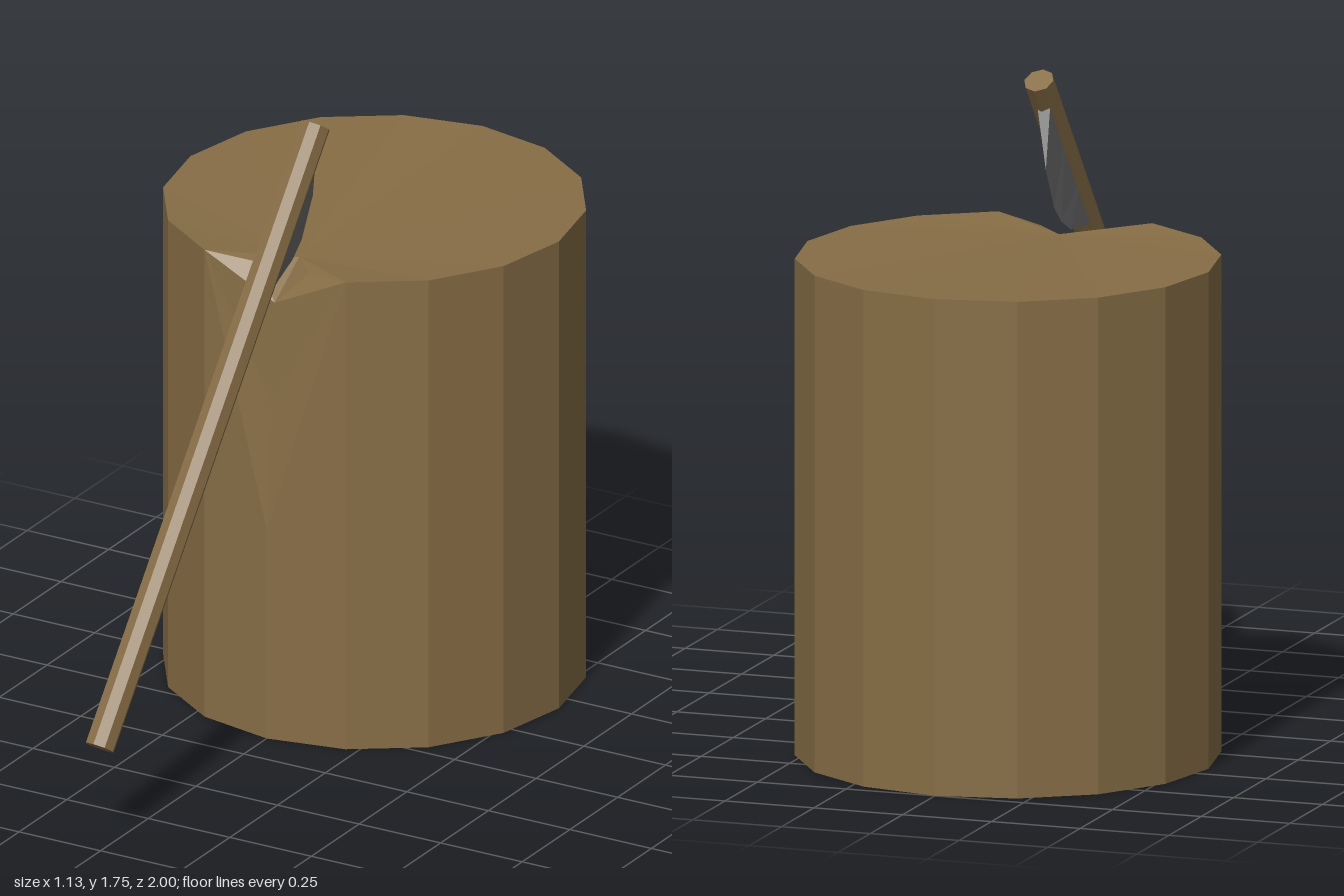
import * as THREE from 'three';

const wood = new THREE.MeshStandardMaterial({ color: 0x866d45 });
wood.name = 'wood';
const steel = new THREE.MeshStandardMaterial({ color: 0x6c6c6e });
steel.name = 'steel';

const V = (x, y, z) => new THREE.Vector3(x, y, z);

// Faceted mesh from a list of triangles, each three points
function facetMesh(name, tris, material) {
  const geo = new THREE.BufferGeometry().setFromPoints(tris.flat());
  geo.computeVertexNormals();
  const mesh = new THREE.Mesh(geo, material);
  mesh.name = name;
  return mesh;
}

// Sixteen-sided block with a split at the front rim, built as one half and mirrored
function makeBlock() {
  const r = 0.565, cz = -0.435, h = 1.345, n = 16;
  const ring = (i, y) => {
    const a = (i / n) * Math.PI * 2;
    return V(r * Math.sin(a), y, cz + r * Math.cos(a));
  };
  const notchBack = V(0, 1.325, -0.04), notchSide = V(0.08, 1.325, 0.045);
  // front edge, leaning inwards towards the split
  const front = [V(0, 0, 0.13), V(0, 0.6, 0.13), V(0, 0.95, 0.103), V(0, 1.24, 0.088)];
  const rim = ring(1, h);
  const half = [
    [front[0], ring(1, 0), rim],
    [front[3], rim, notchSide],
    [front[3], notchSide, notchBack],
    [notchBack, notchSide, rim],
  ];
  for (let i = 0; i < 3; i++) half.push([front[i], rim, front[i + 1]]);
  for (let i = 0; i < n / 2; i++) {
    half.push([V(0, 0, cz), ring(i + 1, 0), ring(i, 0)]);
    if (i === 0) continue;
    half.push([ring(i, 0), ring(i + 1, 0), ring(i + 1, h)]);
    half.push([ring(i, 0), ring(i + 1, h), ring(i, h)]);
    half.push([notchBack, ring(i, h), ring(i + 1, h)]);
  }
  const flip = (p) => V(-p.x, p.y, p.z);
  const mirrored = half.map(([a, b, c]) => [flip(a), flip(c), flip(b)]);
  return facetMesh('choppingBlock', [...half, ...mirrored], wood);
}

// Straight faceted handle leaning on the block
function makeHandle(bottom, top) {
  const axis = top.clone().sub(bottom);
  const geo = new THREE.CylinderGeometry(0.041, 0.041, axis.length(), 8).toNonIndexed();
  geo.computeVertexNormals();
  const mesh = new THREE.Mesh(geo, wood);
  mesh.name = 'axeHandle';
  mesh.position.copy(bottom).add(top).multiplyScalar(0.5);
  mesh.quaternion.setFromUnitVectors(V(0, 1, 0), axis.normalize());
  return mesh;
}

// Wedge blade: thick at the handle, sharp along the curved cutting edge
function makeBlade(bottom, top) {
  const edge = [
    V(0.03, 1.5, -0.06), V(0.023, 1.39, -0.015), V(0.018, 1.345, 0.025), V(0.014, 1.31, 0.09),
  ];
  const spine = edge.map((_, i) => bottom.clone().lerp(top, 0.972 - (i / 3) * 0.277));
  const side = (s) => spine.map((p) => V(p.x + s * 0.022, p.y, p.z));
  const left = side(1), right = side(-1);
  const tris = [];
  for (let i = 0; i < 3; i++) {
    tris.push([left[i], left[i + 1], edge[i + 1]], [left[i], edge[i + 1], edge[i]]);
    tris.push([right[i], edge[i + 1], right[i + 1]], [right[i], edge[i], edge[i + 1]]);
  }
  tris.push([left[0], edge[0], right[0]], [left[3], right[3], edge[3]]);
  return facetMesh('axeBlade', tris, steel);
}

export function createModel() {
  const model = new THREE.Group();
  model.name = 'choppingBlockWithAxe';
  const bottom = V(-0.022, 0.28, 0.967), top = V(0.068, 1.73, -0.01);
  const axe = new THREE.Group();
  axe.name = 'axe';
  axe.add(makeHandle(bottom, top), makeBlade(bottom, top));
  model.add(makeBlock(), axe);
  return model;
}
